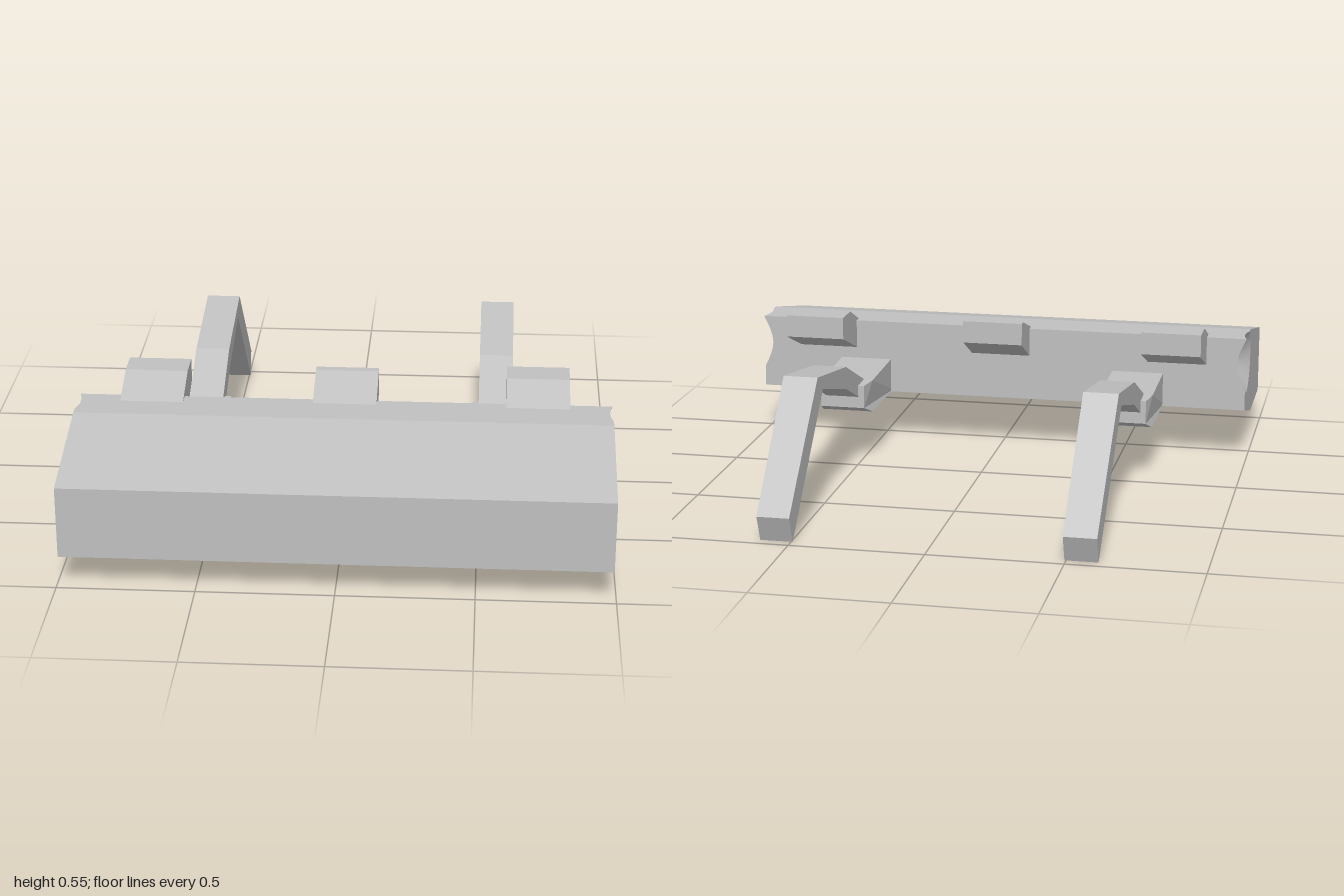
import * as THREE from 'three';
import { toCreasedNormals } from 'three/addons/utils/BufferGeometryUtils.js';

// Side profiles are lists of [z, y].
const BODY = [[1, 0.125], [1, 0.395], [0.56, 0.492], [0.39, 0.492], [0.39, 0.2], [0.66, 0.125]];
const LEG = [[0.1, 0.235], [0.1, 0.325], [-0.18, 0.448], [-0.587, 0.512], [-1, 0.1], [-0.96, 0], [-0.517, 0.45], [-0.18, 0.36]];
const SOCKET = [[0.42, 0.2], [0.42, 0.336], [0.08, 0.328], [0, 0.325], [0, 0.235], [0.08, 0.2]];

// Extrude a side profile across x; each edge may vary along z.
function prism(profile, xMin, xMax) {
  const shape = new THREE.Shape(profile.map(([z, y]) => new THREE.Vector2(z, y)));
  const geo = new THREE.ExtrudeGeometry(shape, { depth: 1, bevelEnabled: false });
  geo.rotateY(-Math.PI / 2);
  const p = geo.attributes.position;
  for (let i = 0; i < p.count; i++) {
    const z = p.getZ(i);
    p.setX(i, p.getX(i) < -0.5 ? xMin(z) : xMax(z));
  }
  geo.computeVertexNormals();
  return geo;
}

// Long body whose ends have conical dishes that break through the top and back.
function bodyGeometry() {
  const cz = 0.46, cy = 0.385, half = 0.988, rim = 0.125, hub = 0.03, depth = 0.06;
  const reach = (a) => {
    const dz = Math.cos(a), dy = Math.sin(a);
    let best = Infinity;
    BODY.forEach(([z0, y0], i) => {
      const [z1, y1] = BODY[(i + 1) % BODY.length];
      const nz = y1 - y0, ny = z0 - z1;
      const t = ((z0 - cz) * nz + (y0 - cy) * ny) / (dz * nz + dy * ny);
      if (t > 0) best = Math.min(best, t);
    });
    return best;
  };
  // Even angles plus the profile corners and the points where the rim is cut
  const angles = BODY.map(([z, y]) => Math.atan2(y - cy, z - cz));
  for (let i = 0; i < 64; i++) angles.push(-Math.PI + (i + 0.5) * Math.PI / 32);
  const topCut = Math.asin((0.492 - cy) / rim), backCut = Math.acos((0.39 - cz) / rim);
  angles.push(topCut, Math.PI - topCut, backCut, -backCut);
  angles.sort((a, b) => a - b);

  const columns = angles.map((a) => {
    const r = reach(a), cut = Math.min(r, rim);
    const x = half - depth * (rim - cut) / (rim - hub);
    const side = [[0, half - depth], [hub, half - depth], [cut, x], [r, x]];
    const rows = [...side, ...side.map(([q, e]) => [q, -e]).reverse()];
    return rows.map(([q, e]) => new THREE.Vector3(e, cy + q * Math.sin(a), cz + q * Math.cos(a)));
  });
  const pos = [];
  const tri = (a, b, c) => {
    if (new THREE.Triangle(a, b, c).getArea() < 1e-8) return;
    for (const v of [a, b, c]) pos.push(v.x, v.y, v.z);
  };
  columns.forEach((col, i) => {
    const next = columns[(i + 1) % columns.length];
    for (let j = 0; j < col.length - 1; j++) {
      tri(col[j], next[j], col[j + 1]);
      tri(next[j], next[j + 1], col[j + 1]);
    }
  });
  const geo = new THREE.BufferGeometry();
  geo.setAttribute('position', new THREE.Float32BufferAttribute(pos, 3));
  return toCreasedNormals(geo, 0.16);
}

// Wedge-topped tab that rises from the body's rear edge
const tabProfile = (front, fold, back) => [
  [front, 0.49], [fold, 0.552], [back, 0.552], [back, 0.465], [0.39, 0.38], [front, 0.38],
];

export function createModel() {
  const group = new THREE.Group();
  const grey = new THREE.MeshStandardMaterial({ color: 0xc0c0c0 });
  grey.name = 'grey';
  const add = (name, geo) => {
    const mesh = new THREE.Mesh(geo, grey);
    mesh.name = name;
    group.add(mesh);
  };
  // Place a part spanning inner(z)..outer(z) on the given side
  const addSide = (name, s, profile, inner, outer) => add(
    (s > 0 ? 'left' : 'right') + name,
    s > 0 ? prism(profile, inner, outer) : prism(profile, (z) => -outer(z), (z) => -inner(z)),
  );

  add('body', bodyGeometry());
  add('middleTab', prism(tabProfile(0.43, 0.25, 0.22), () => -0.118, () => 0.118));

  for (const s of [1, -1]) {
    const taper = (z) => 0.015 * (1 - Math.min(Math.max(z / 0.08, 0), 1));
    addSide('Tab', s, tabProfile(s > 0 ? 0.43 : 0.45, 0.29, 0.175), () => 0.598, () => 0.832);
    addSide('Socket', s, SOCKET, (z) => 0.456 + taper(z), (z) => 0.66 - taper(z));
    addSide('Leg', s, LEG, () => 0.494, (z) => (z < -0.9 ? 0.615 : 0.624));
  }
  return group;
}
